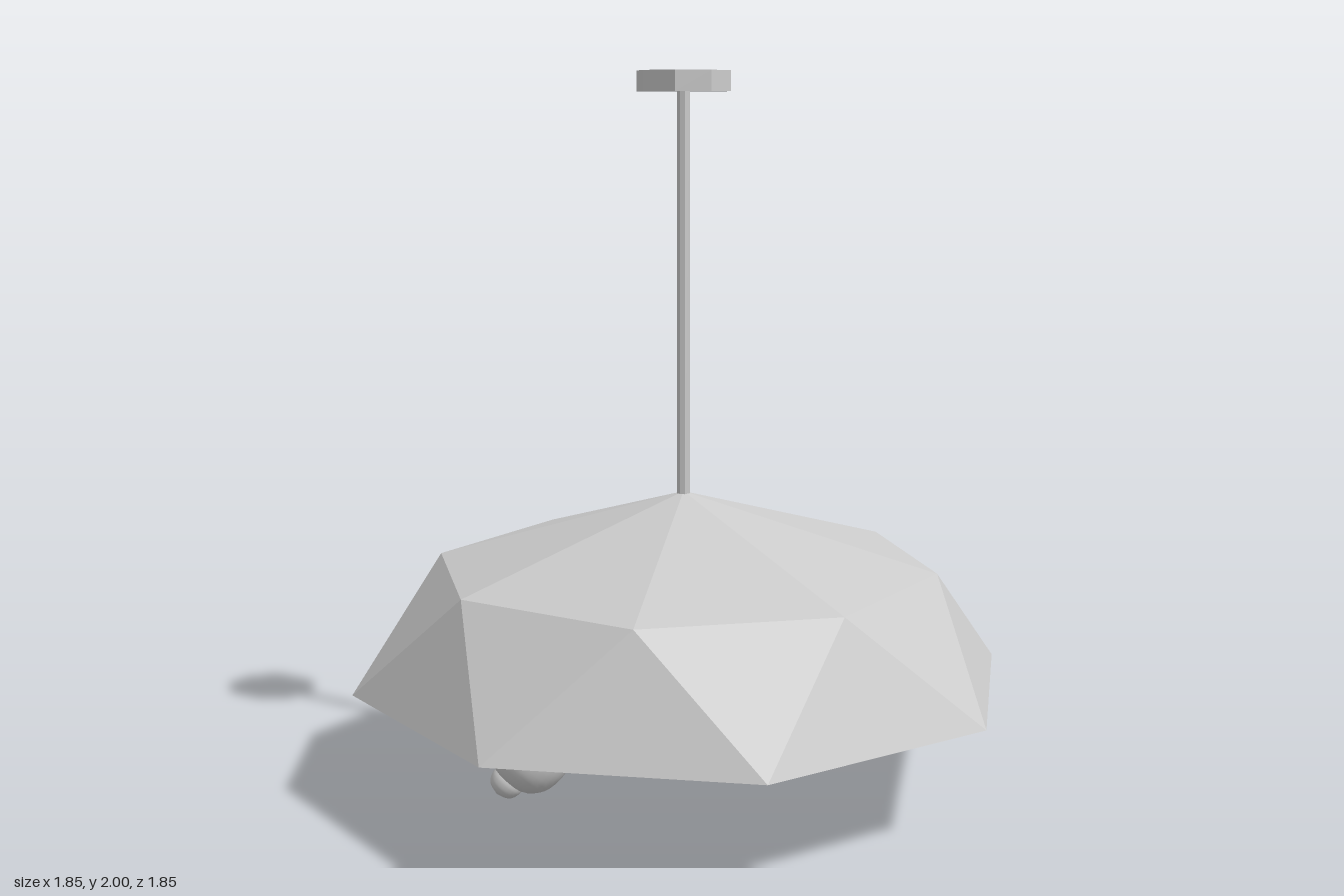
import * as THREE from 'three';
import { ConvexGeometry } from 'three/addons/geometries/ConvexGeometry.js';

const flat = new THREE.MeshStandardMaterial({ color: 0xcccccc, flatShading: true });
const smooth = new THREE.MeshStandardMaterial({ color: 0xcccccc });
const STEP = Math.PI / 4;

function add(parent, name, geometry, material) {
  const mesh = new THREE.Mesh(geometry, material);
  mesh.name = name;
  parent.add(mesh);
  return mesh;
}

// Regular ring of points; turn is a fraction of one step
function ring(radius, y, turn = 0, count = 8) {
  return Array.from({ length: count }, (_, k) => {
    const a = ((k + turn) * 2 * Math.PI) / count;
    return new THREE.Vector3(Math.sin(a) * radius, y, Math.cos(a) * radius);
  });
}

// Faceted octagonal shade: domed top, narrow rim, and an underside rising gently to the hub
function shadeGeometry() {
  const rim = ring(0.925, 0.322);
  const lip = ring(0.905, 0.322);
  const mid = ring(0.705, 0.644, 0.5);
  const hubRing = ring(0.355, 0.43, 0.5);
  const apex = new THREE.Vector3(0, 0.85, 0);
  const corners = [];
  for (let k = 0; k < 8; k++) {
    const n = (k + 1) % 8;
    corners.push(rim[k], rim[n], mid[k], mid[k], rim[n], mid[n], mid[k], mid[n], apex);
    corners.push(rim[k], lip[k], rim[n], lip[k], lip[n], rim[n]);
    corners.push(lip[k], hubRing[k], lip[n], hubRing[k], hubRing[n], lip[n]);
  }
  const geometry = new THREE.BufferGeometry().setFromPoints(corners);
  geometry.computeVertexNormals();
  return geometry;
}

export function createModel() {
  const model = new THREE.Group();
  model.name = 'pendantLamp';

  // Ceiling plate and hanging rod
  const plate = add(model, 'ceilingPlate', new THREE.CylinderGeometry(0.129, 0.129, 0.055, 8), flat);
  plate.position.y = 1.9725;
  plate.rotation.y = STEP / 2;
  const rod = add(model, 'rod', new THREE.CylinderGeometry(0.018, 0.018, 1.12, 8), flat);
  rod.position.y = 1.395;

  add(model, 'shade', shadeGeometry(), flat);

  // Hub: octagonal top narrowing to a square bottom
  add(model, 'hub', new ConvexGeometry([...ring(0.355, 0.43, 0.5), ...ring(0.142, 0.278, 0.5, 4)]), flat);

  // Tilted bulb in its socket, modelled along its own +y axis
  const lamp = new THREE.Group();
  lamp.name = 'bulbAssembly';
  lamp.position.set(-0.29, 0.287, 0.013);
  lamp.quaternion.setFromUnitVectors(
    new THREE.Vector3(0, 1, 0),
    new THREE.Vector3(-0.67, -0.74, 0).normalize()
  );
  model.add(lamp);

  const socket = add(lamp, 'socket', new THREE.CylinderGeometry(0.072, 0.066, 0.14, 24), smooth);
  socket.position.y = -0.07;

  const toCurve = (points) =>
    new THREE.SplineCurve(points.map(([r, y]) => new THREE.Vector2(r, y)))
      .getPoints(24)
      .map((p) => new THREE.Vector2(Math.max(p.x, 0), p.y));
  const glass = [[0.064, -0.01], [0.07, 0.04], [0.088, 0.11], [0.104, 0.175], [0.108, 0.225], [0.095, 0.275], [0.058, 0.312], [0, 0.325]];
  add(lamp, 'bulb', new THREE.LatheGeometry(toCurve(glass), 32), smooth);
  const tip = [[0.046, 0.3], [0.048, 0.328], [0.035, 0.354], [0, 0.368]];
  add(lamp, 'bulbTip', new THREE.LatheGeometry(toCurve(tip), 24), smooth);

  return model;
}
